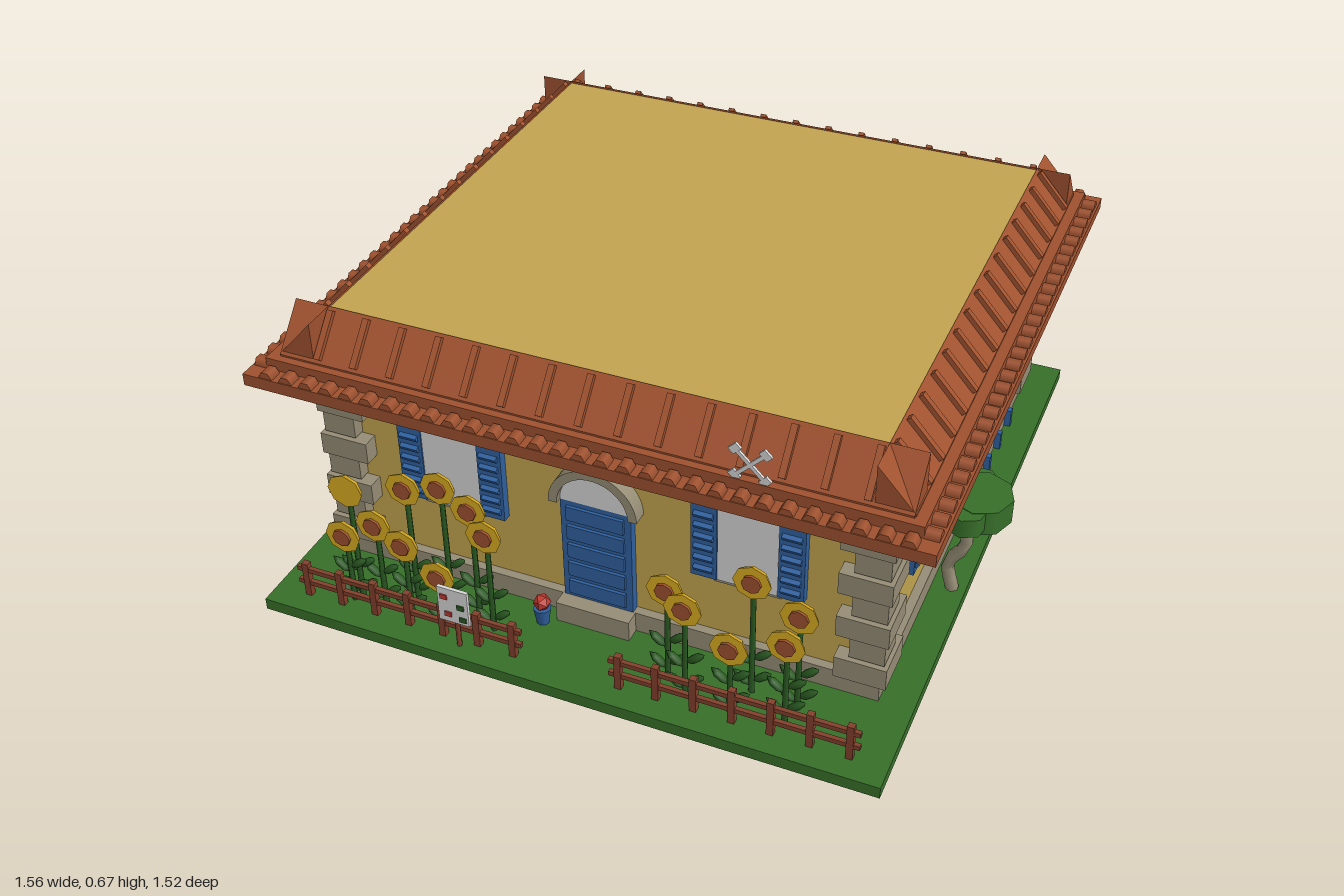
import * as THREE from 'three';

const mat = (name, color) => Object.assign(new THREE.MeshStandardMaterial({ color }), { name });

export function createModel() {
  const wall = mat('ochre plaster', 0xc4a550), roof = mat('terracotta', 0xa0522f);
  const stone = mat('stone', 0x978e76), blue = mat('blue paint', 0x2f61a0);
  const green = mat('grass', 0x38702a), leaf = mat('dark leaf', 0x2a5a22);
  const white = mat('pale pane', 0xd8d8d8), gold = mat('petal yellow', 0xdcae22);
  const wood = mat('red wood', 0x84402c), red = mat('blossom red', 0xc23a30);
  const root = new THREE.Group();
  root.name = 'cottage';

  const add = (parent, name, geo, m, x = 0, y = 0, z = 0) => {
    const mesh = new THREE.Mesh(geo, m);
    mesh.name = name;
    mesh.position.set(x, y, z);
    parent.add(mesh);
    return mesh;
  };
  const box = (p, name, m, w, h, d, x, y, z) => add(p, name, new THREE.BoxGeometry(w, h, d), m, x, y, z);
  const cyl = (p, name, m, r1, r2, h, n, x, y, z) => add(p, name, new THREE.CylinderGeometry(r1, r2, h, n), m, x, y, z);
  const group = (name, x = 0, y = 0, z = 0, ry = 0) => {
    const g = new THREE.Group();
    g.name = name;
    g.position.set(x, y, z);
    g.rotation.y = ry;
    root.add(g);
    return g;
  };

  // Lawn, floor seen from below, plinth and walls
  box(root, 'lawn', green, 1.4, 0.028, 1.525, 0, 0.016, 0.047);
  const tri = new THREE.Shape([[0.6, 0.57], [-0.6, 0.57], [-0.6, -0.57]].map(([x, z]) => new THREE.Vector2(x, z)));
  add(root, 'floor', new THREE.ExtrudeGeometry(tri, { depth: 0.004, bevelEnabled: false }), wall, 0, 0.004, 0).rotation.x = Math.PI / 2;
  box(root, 'plinth', stone, 1.25, 0.06, 1.18, 0, 0.05, 0);
  box(root, 'walls', wall, 1.21, 0.59, 1.14, 0, 0.37, 0);

  // Alternating corner stones
  for (const sx of [1, -1]) for (const sz of [1, -1]) for (let i = 0; i < 8; i++) {
    const long = i % 2 === 0, w = long ? 0.112 : 0.075, out = long ? 0 : 0.008;
    box(root, 'cornerStone', stone, w, 0.052, w, sx * (0.642 - out - w / 2), 0.108 + i * 0.056, sz * (0.607 - out - w / 2));
  }

  // Stepped eaves and four sloping tile bands which cross at the corners
  box(root, 'lowerEave', roof, 1.48, 0.028, 1.41, 0, 0.536, 0);
  box(root, 'upperEave', roof, 1.41, 0.028, 1.335, 0, 0.562, 0);
  const band = new THREE.Shape([[0, 0.57], [0.08, 0.57], [0.08, 0.58], [0, 0.67]].map(([u, y]) => new THREE.Vector2(u, y)));
  for (let k = 0; k < 4; k++) {
    const side = group('roofSide', 0, 0, 0, k * Math.PI / 2);
    const start = k % 2 ? 0.57 : 0.602, len = k % 2 ? 1.36 : 1.29;
    add(side, 'tileBand', new THREE.ExtrudeGeometry(band, { depth: len, bevelEnabled: false }), roof, start, 0, -len / 2);
    for (let i = 0; i < 15; i++) {
      const z = (i - 7) * (len - 0.18) / 14;
      box(side, 'tileRib', roof, 0.105, 0.014, 0.014, start + 0.043, 0.627, z).rotation.z = -Math.atan2(0.09, 0.08);
    }
    for (let i = 0; i < 30; i++) {
      const t = cyl(side, 'eaveTile', roof, 0.016, 0.016, 0.03, 6, start + 0.118, 0.55, (i - 14.5) * (len + 0.06) / 30);
      t.rotation.z = Math.PI / 2;
    }
  }

  // Shuttered windows, built facing +z
  const windowAt = (x, y, z, ry) => {
    const g = group('window', x, y, z, ry);
    box(g, 'frame', stone, 0.145, 0.205, 0.02, 0, 0, 0.005);
    box(g, 'pane', white, 0.13, 0.185, 0.008, 0, 0, 0.016);
    for (const s of [1, -1]) {
      box(g, 'shutter', blue, 0.056, 0.185, 0.02, s * 0.094, 0, 0.012);
      for (let i = 0; i < 6; i++) box(g, 'slat', blue, 0.042, 0.012, 0.01, s * 0.094, -0.07 + i * 0.028, 0.024).rotation.x = 0.5;
    }
  };
  for (const x of [-0.335, 0.335]) windowAt(x, 0.33, 0.57, 0);
  for (const x of [-0.3, 0, 0.3]) windowAt(x, 0.3, -0.57, Math.PI);
  for (const s of [1, -1]) for (const z of [0.27, -0.265]) windowAt(s * 0.605, 0.3, z, s * Math.PI / 2);

  // Arched front door
  const door = group('frontDoor', 0, 0, 0.57);
  box(door, 'doorLeaf', blue, 0.16, 0.26, 0.03, 0, 0.21, 0.005);
  for (let i = 0; i < 5; i++) box(door, 'doorPlank', blue, 0.13, 0.036, 0.008, 0, 0.11 + i * 0.05, 0.023);
  add(door, 'fanlight', new THREE.CircleGeometry(0.08, 20, 0, Math.PI), white, 0, 0.34, 0.02);
  const arch = new THREE.Shape().absarc(0, 0, 0.1, 0, Math.PI).absarc(0, 0, 0.08, Math.PI, 0, true);
  add(door, 'stoneArch', new THREE.ExtrudeGeometry(arch, { depth: 0.035, bevelEnabled: false, curveSegments: 16 }), stone, 0, 0.34, 0);
  box(door, 'doorStep', stone, 0.17, 0.05, 0.05, 0, 0.055, 0.03);

  // Side vents in the plinth
  for (const s of [1, -1]) for (const z of [-0.13, -0.23, -0.33, -0.43])
    box(root, 'plinthVent', blue, 0.02, 0.045, 0.016, s * 0.63, 0.055, z);

  // Trees with bent trunks and faceted crowns
  for (const s of [1, -1]) {
    const tree = group('tree', 0, 0, 0.2);
    const path = new THREE.CatmullRomCurve3([[0.68, 0.03], [0.665, 0.1], [0.7, 0.16], [0.69, 0.26]].map(([x, y]) => new THREE.Vector3(
      s > 0 ? x - 0.01 : -x - 0.01, y, 0)));
    add(tree, 'trunk', new THREE.TubeGeometry(path, 8, 0.015, 6), stone);
    cyl(tree, 'crown', green, 0.07, 0.07, 0.058, 8, s * 0.71, 0.28, 0).scale.z = 1.05;
    cyl(tree, 'crownLobe', green, 0.045, 0.045, 0.045, 7, s * 0.695, 0.285, 0.06);
    cyl(tree, 'crownLobe', green, 0.045, 0.045, 0.045, 7, s * 0.69, 0.276, -0.055);
  }

  // Sunflowers: x, head height, z
  const leafGeo = new THREE.SphereGeometry(0.026, 6, 4).scale(1, 0.35, 0.4);
  const flower = (x, y, z, turned) => {
    const f = group('sunflower', x, 0, z);
    cyl(f, 'stem', leaf, 0.006, 0.007, y - 0.03, 5, 0, (y + 0.03) / 2, -0.008);
    for (const s of [1, -1]) for (const h of [0.07, 0.13]) {
      if (h > y - 0.07) continue;
      add(f, 'stemLeaf', leafGeo, leaf, s * 0.022, h + s * 0.008, -0.008).rotation.z = s * 0.7;
    }
    cyl(f, 'petals', gold, 0.041, 0.035, 0.012, 8, 0, y, 0).rotation.x = Math.PI / 2;
    if (!turned) cyl(f, 'seedDisc', roof, 0.021, 0.021, 0.008, 8, 0, y, 0.008).rotation.x = Math.PI / 2;
  };
  [[-0.505, 0.335, 0.73, true], [-0.39, 0.345, 0.69], [-0.325, 0.345, 0.66], [-0.245, 0.325, 0.68], [-0.195, 0.295, 0.71],
    [-0.447, 0.26, 0.73], [-0.52, 0.215, 0.74], [-0.38, 0.23, 0.735], [-0.297, 0.175, 0.74], [0.2, 0.27, 0.69],
    [0.255, 0.272, 0.73], [0.377, 0.335, 0.67], [0.357, 0.212, 0.74], [0.48, 0.288, 0.68], [0.468, 0.243, 0.72],
  ].forEach((a) => flower(...a));

  // Garden fence, two runs either side of the path
  for (const s of [1, -1]) {
    const fence = group('fence', s * 0.37, 0, 0.755);
    for (const y of [0.065, 0.1]) box(fence, 'rail', wood, 0.54, 0.011, 0.01, 0, y, 0);
    for (let i = 0; i < 7; i++) box(fence, 'post', wood, 0.015, 0.09, 0.014, (i - 3) * 0.083, 0.073, 0);
  }

  // Spotted white panel on a stake
  const sign = group('spottedPanel', -0.24, 0, 0.78);
  cyl(sign, 'stake', wood, 0.006, 0.006, 0.14, 5, 0, 0.1, -0.008);
  box(sign, 'panel', white, 0.07, 0.09, 0.008, 0, 0.148, 0);
  [[-0.02, 0.17], [0.018, 0.15], [-0.012, 0.125], [0.022, 0.118]].forEach(([x, y], i) =>
    box(sign, 'spot', i % 2 ? leaf : red, 0.016, 0.012, 0.004, x, y, 0.005));

  // Potted flower by the door
  cyl(root, 'flowerPot', blue, 0.02, 0.014, 0.04, 8, -0.11, 0.05, 0.64);
  add(root, 'potBlossom', new THREE.IcosahedronGeometry(0.02, 0), red, -0.11, 0.085, 0.64);

  // Pinwheel on the front eave
  const wheel = group('pinwheel', 0.363, 0.613, 0.662);
  for (let i = 0; i < 4; i++) {
    const blade = new THREE.Group();
    blade.rotation.z = Math.PI / 4 + i * Math.PI / 2;
    wheel.add(blade);
    box(blade, 'bladeArm', white, 0.05, 0.008, 0.006, 0.025, 0, 0);
    box(blade, 'bladeTip', white, 0.016, 0.022, 0.006, 0.044, 0, 0);
  }

  // Well behind the house
  const well = group('well', 0.17, 0, -0.65);
  cyl(well, 'wellRing', stone, 0.045, 0.048, 0.075, 10, 0, 0.066, 0);
  for (const s of [1, -1]) box(well, 'wellPost', wood, 0.012, 0.09, 0.012, s * 0.033, 0.14, 0);
  cyl(well, 'wellRoof', roof, 0.004, 0.056, 0.042, 6, 0, 0.19, 0);

  // Crate of straw behind the house
  const crate = group('strawCrate', -0.14, 0, -0.652);
  box(crate, 'crateBox', wood, 0.19, 0.065, 0.085, 0, 0.063, 0);
  box(crate, 'straw', wall, 0.165, 0.07, 0.068, 0, 0.128, 0);
  return root;
}
